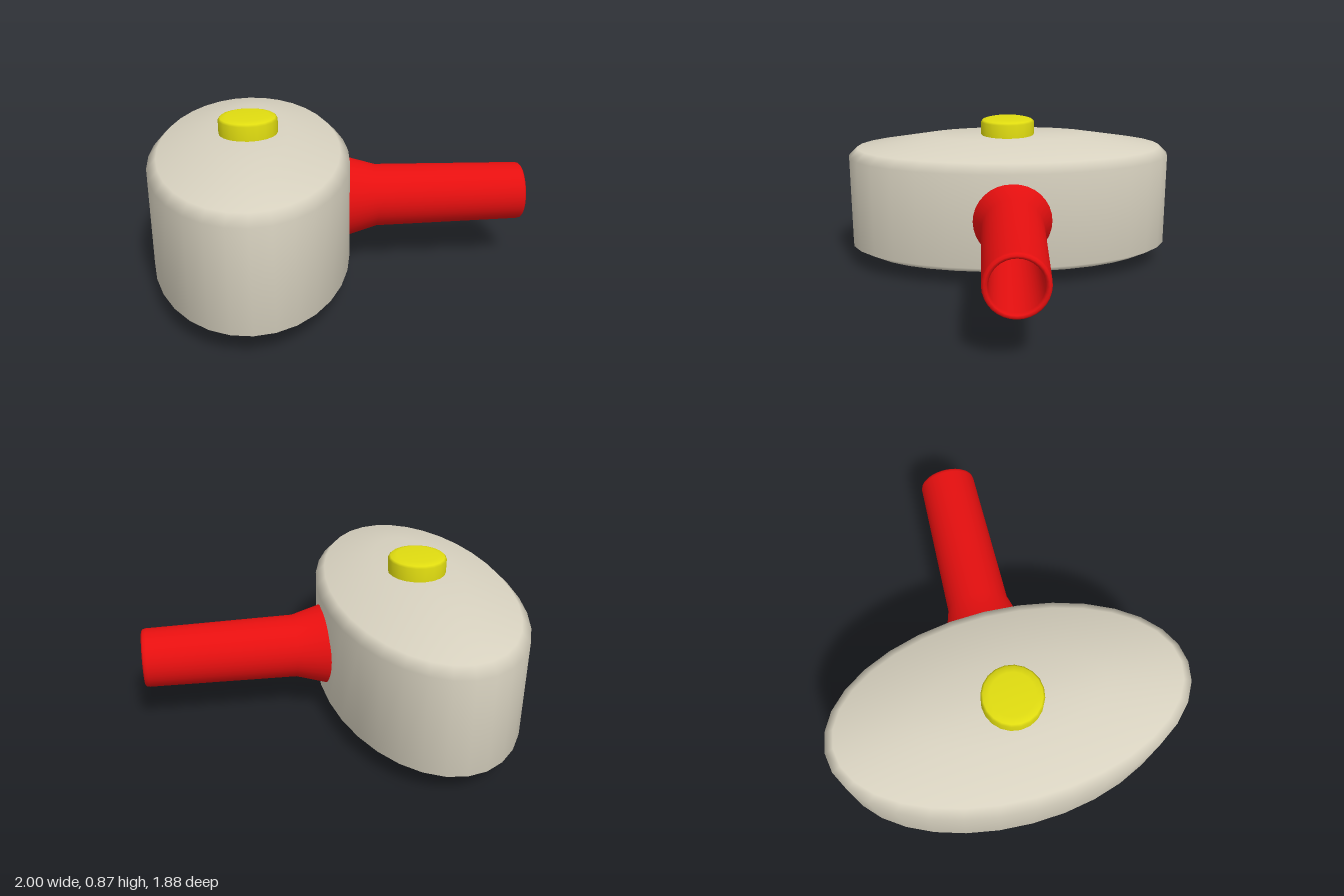
import * as THREE from 'three';

const mat = (name, color, side = THREE.FrontSide) => {
  const m = new THREE.MeshStandardMaterial({ color, side });
  m.name = name;
  return m;
};

const part = (name, geometry, material) => {
  const m = new THREE.Mesh(geometry, material);
  m.name = name;
  return m;
};

// Smooth skin over elliptical rings [y, half width x, half depth z], bottom to top
function ellipseLoft(rows, sides) {
  const pos = [], index = [];
  for (const [y, rx, rz] of rows) {
    for (let j = 0; j < sides; j++) {
      const a = (j / sides) * Math.PI * 2;
      pos.push(rx * Math.cos(a), y, rz * Math.sin(a));
    }
  }
  for (let i = 0; i < rows.length - 1; i++) {
    for (let j = 0; j < sides; j++) {
      const k = (j + 1) % sides;
      const a = i * sides + j, b = i * sides + k;
      index.push(a, a + sides, b, b, a + sides, b + sides);
    }
  }
  // Flat top
  const top = pos.length / 3, last = (rows.length - 1) * sides;
  pos.push(0, rows[rows.length - 1][0], 0);
  for (let j = 0; j < sides; j++) index.push(last + j, top, last + ((j + 1) % sides));
  const g = new THREE.BufferGeometry();
  g.setAttribute('position', new THREE.Float32BufferAttribute(pos, 3));
  g.setIndex(index);
  g.computeVertexNormals();
  return g;
}

const lathe = (points, sides) =>
  new THREE.LatheGeometry(points.map(([r, y]) => new THREE.Vector2(r, y)), sides);

export function createModel() {
  const model = new THREE.Group();
  model.name = 'whistleShapedFloat';
  const cream = mat('cream', 0xd8d2c0);
  const red = mat('red', 0xe60f0f, THREE.DoubleSide);
  const yellow = mat('yellow', 0xe0dc10);
  const black = mat('black', 0x050505);
  const cx = -0.475;

  // Oval body with softened top and bottom edges
  const body = part('body', ellipseLoft([
    [0, 0.175, 0.43],
    [0.06, 0.415, 0.83],
    [0.12, 0.525, 0.94],
    [0.65, 0.525, 0.94],
    [0.7, 0.475, 0.89],
    [0.77, 0.21, 0.49],
  ], 32), cream);
  body.position.x = cx;

  // Dark oval underneath
  const base = part('basePlate', new THREE.CircleGeometry(1, 32).rotateX(Math.PI / 2), black);
  base.scale.set(0.175, 1, 0.43);
  base.position.x = cx;

  // Button on top
  const button = part('button', lathe([
    [0.155, 0], [0.155, 0.075], [0.145, 0.086], [0.112, 0.095], [0, 0.095],
  ], 20), yellow);
  button.position.set(cx, 0.77, 0.008);

  // Hollow flared spout, leaning slightly forward
  const spout = part('spout', lathe([
    [0.222, 0.015], [0.168, 0.2], [0.155, 0.975], [0.152, 0.99],
    [0.143, 0.998], [0.132, 0.996], [0.125, 0.98], [0.108, 0.04],
  ], 32).rotateZ(-Math.PI / 2), red);
  spout.position.y = 0.387;
  spout.rotation.set(0, -0.022, 0.004);

  model.add(body, base, button, spout);
  return model;
}
